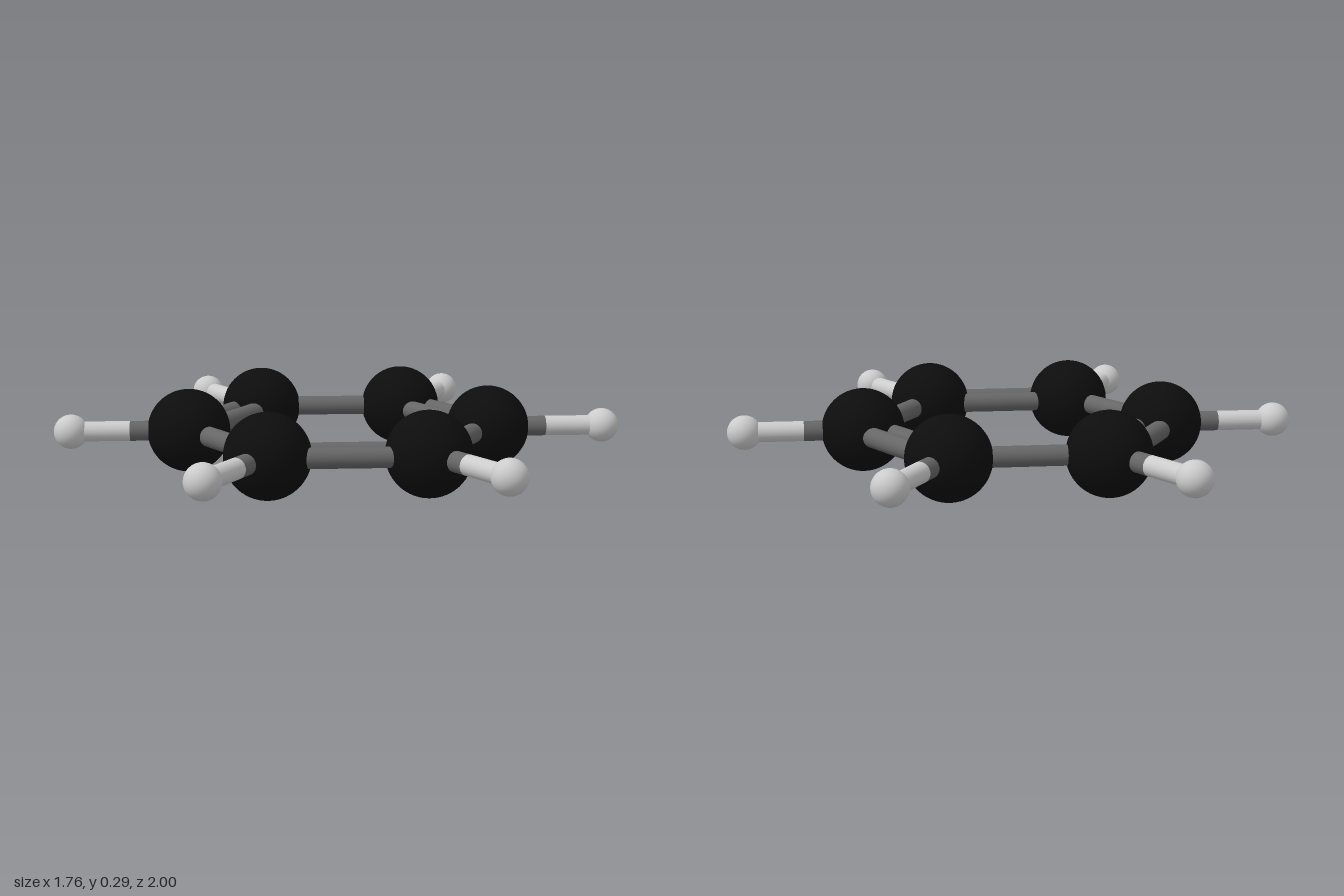
import * as THREE from 'three';

const RING_R = 0.529, OUTER_R = 0.94, MID_Y = 0.145;
const BIG_R = 0.145, SMALL_R = 0.06, ROD_R = 0.035, PAIR_OFFSET = 0.041;
const TILT = 0.008; // slight turn of the ring about y

export function createModel() {
  const model = new THREE.Group();
  model.name = 'ringMolecule';

  const black = new THREE.MeshStandardMaterial({ color: 0x0d0d0d });
  const darkGrey = new THREE.MeshStandardMaterial({ color: 0x666666 });
  const grey = new THREE.MeshStandardMaterial({ color: 0xcccccc });
  const bigBall = new THREE.SphereGeometry(BIG_R, 48, 32);
  const smallBall = new THREE.SphereGeometry(SMALL_R, 32, 24);

  const spot = (radius, i) => {
    const a = i * Math.PI / 3 + TILT;
    return new THREE.Vector3(radius * Math.sin(a), MID_Y, -radius * Math.cos(a));
  };

  const ball = (name, geometry, material, position) => {
    const mesh = new THREE.Mesh(geometry, material);
    mesh.name = name;
    mesh.position.copy(position);
    model.add(mesh);
  };

  // Straight round rod between two points
  const rod = (name, from, to, material) => {
    const dir = to.clone().sub(from);
    const mesh = new THREE.Mesh(new THREE.CylinderGeometry(ROD_R, ROD_R, dir.length(), 32), material);
    mesh.name = name;
    mesh.position.copy(from).lerp(to, 0.5);
    mesh.quaternion.setFromUnitVectors(new THREE.Vector3(0, 1, 0), dir.normalize());
    model.add(mesh);
  };

  for (let i = 0; i < 6; i++) {
    const inner = spot(RING_R, i), outer = spot(OUTER_R, i), next = spot(RING_R, i + 1);

    // Atoms
    ball('carbonAtom' + i, bigBall, black, inner);
    ball('hydrogenAtom' + i, smallBall, grey, outer);

    // Spoke, dark on its inner half and light on its outer half
    const middle = inner.clone().lerp(outer, 0.5);
    rod('innerSpoke' + i, inner, middle, darkGrey);
    rod('outerSpoke' + i, middle, outer, grey);

    // Ring bonds alternate between double and single, spread within the ring plane
    const side = inner.clone().add(next).setY(0).normalize();
    for (const offset of i % 2 === 0 ? [-PAIR_OFFSET, PAIR_OFFSET] : [0]) {
      const shift = side.clone().multiplyScalar(offset);
      rod('ringBond' + i, inner.clone().add(shift), next.clone().add(shift), darkGrey);
    }
  }
  return model;
}
